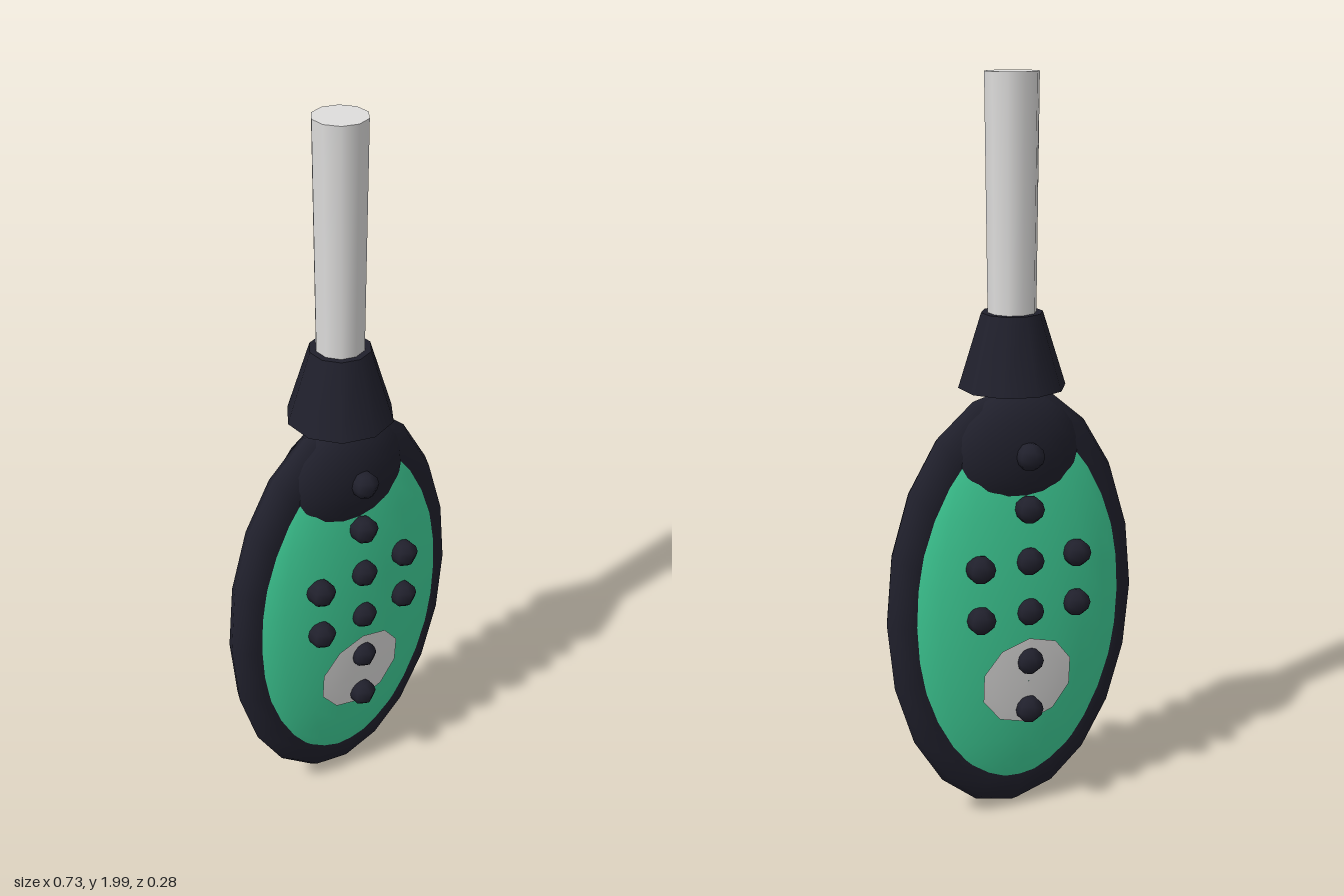
import * as THREE from 'three';

const BODY = { y: 0.607, rx: 0.345, ry: 0.57, rz: 0.1 };

export function createModel() {
  const group = new THREE.Group();
  const material = (name, color) => {
    const m = new THREE.MeshStandardMaterial({ color });
    m.name = name;
    return m;
  };
  const green = material('green', 0x40d29a);
  const dark = material('darkNavy', 0x20202c);
  const white = material('offWhite', 0xdedddc);

  const add = (name, geometry, mat, x = 0, y = 0, z = 0) => {
    const mesh = new THREE.Mesh(geometry, mat);
    mesh.name = name;
    mesh.position.set(x, y, z);
    group.add(mesh);
    return mesh;
  };

  // Flattened oval body
  add('body', new THREE.SphereGeometry(1, 24, 18), green, 0, BODY.y, 0)
    .scale.set(BODY.rx, BODY.ry, BODY.rz);

  // Rim around the edge of the body
  add('rim', new THREE.TorusGeometry(0.3, 0.067, 10, 20), dark, 0, BODY.y, 0)
    .scale.set(1, 1.64, 0.75);

  // Dark cap where the body meets the collar
  add('neckCap', new THREE.SphereGeometry(1, 20, 14), dark, 0, 1.025, 0)
    .scale.set(0.197, 0.172, 0.097);

  // Collar and shaft
  add('collar', new THREE.CylinderGeometry(0.08, 0.141, 0.195, 10), dark, 0, 1.307, 0);
  add('shaft', new THREE.CylinderGeometry(0.069, 0.063, 0.62, 10), white, 0, 1.69, 0);

  // Ten-sided patch, wrapped onto the body surface
  const patch = new THREE.RingGeometry(0.001, 1, 10, 5, Math.PI / 2);
  patch.scale(0.137, 0.126, 1);
  const p = patch.attributes.position;
  const patchY = 0.412;
  for (let i = 0; i < p.count; i++) {
    const u = p.getX(i) / BODY.rx;
    const v = (p.getY(i) + patchY - BODY.y) / BODY.ry;
    p.setZ(i, BODY.rz * Math.sqrt(1 - u * u - v * v) + 0.004);
  }
  patch.computeVertexNormals();

  // Round studs in a cross layout, on both faces
  const stud = new THREE.SphereGeometry(0.04, 6, 6);
  stud.rotateY(Math.PI / 6);
  stud.scale(1, 0.92, 1);
  const studs = [[0, 1.043], [0, 0.9], [0, 0.473], [0, 0.33]];
  for (const x of [-0.142, 0, 0.142]) studs.push([x, 0.757], [x, 0.615]);

  for (const side of [1, -1]) {
    const label = side > 0 ? 'front' : 'back';
    add(label + 'Patch', patch, white, 0, patchY, 0).rotation.y = side > 0 ? 0 : Math.PI;
    for (const [x, y] of studs) add(label + 'Stud', stud, dark, x, y, side * 0.099);
  }

  return group;
}
